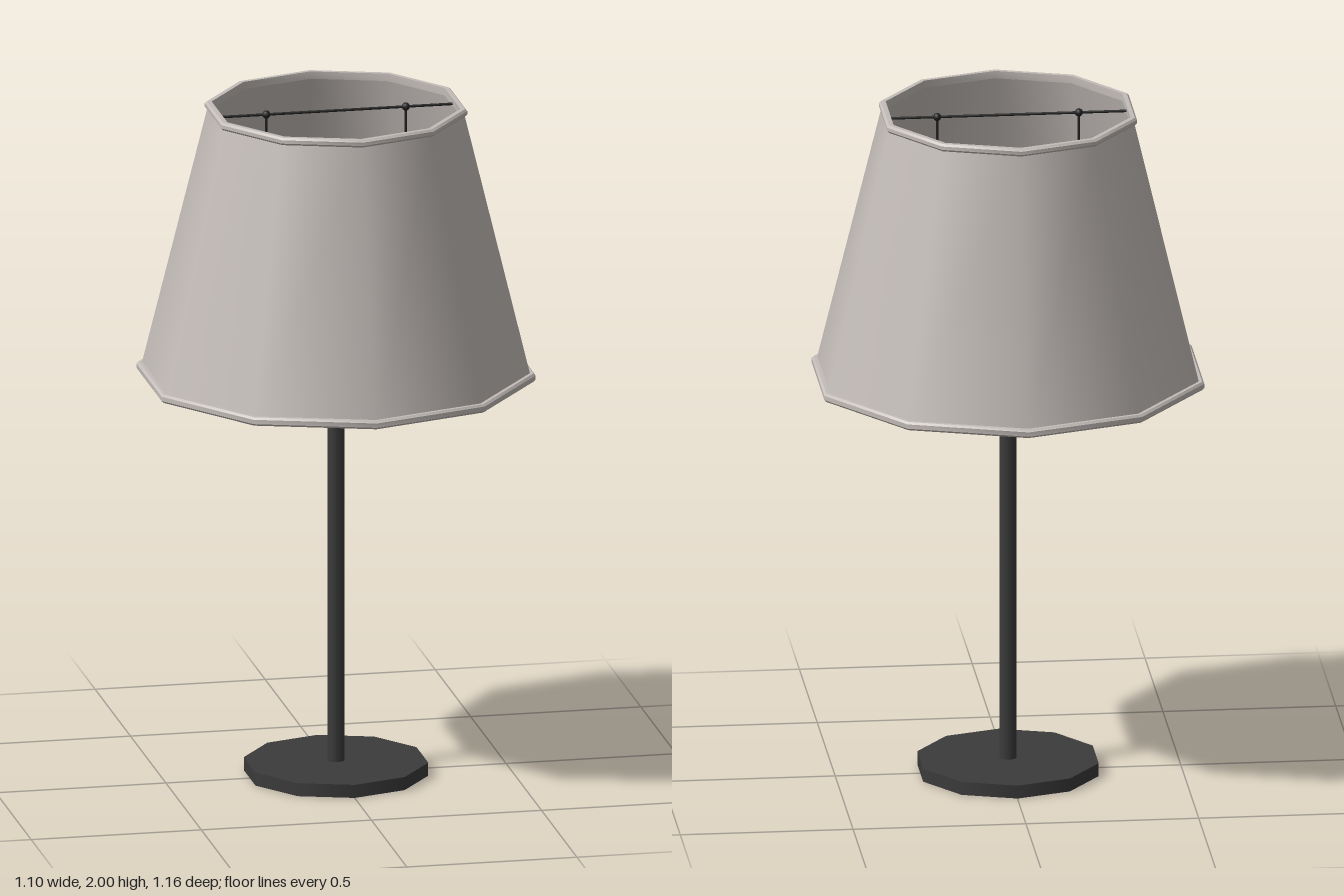
import * as THREE from 'three';
import { toCreasedNormals } from 'three/addons/utils/BufferGeometryUtils.js';

const SIDES = 10;

function material(name, color, side = THREE.FrontSide) {
  const m = new THREE.MeshStandardMaterial({ color, side });
  m.name = name;
  return m;
}

export function createModel() {
  const fabric = material('shadeGrey', 0xc4bdb9, THREE.DoubleSide);
  const dark = material('standCharcoal', 0x3b3b3b);
  const wire = material('wireBlack', 0x222222);
  const glass = material('bulbPeach', 0xe8c8b0);
  const cap = material('bulbNeckGrey', 0xc9c4c0);

  const model = new THREE.Group();
  model.name = 'tableLamp';

  function add(name, geometry, mat, x = 0, y = 0, z = 0) {
    const mesh = new THREE.Mesh(geometry, mat);
    mesh.name = name;
    mesh.position.set(x, y, z);
    model.add(mesh);
    return mesh;
  }
  function lathe(points, segments) {
    return new THREE.LatheGeometry(points.map(([r, y]) => new THREE.Vector2(r, y)), segments);
  }
  const rod = (r, h, n) => new THREE.CylinderGeometry(r, r, h, n);

  // Stand: plate, pole showing through its underside, socket collar
  add('base', rod(0.267, 0.039, SIDES), dark, 0, 0.0205);
  add('pole', rod(0.025, 1.28, SIDES), dark, 0, 0.64);
  add('socket', rod(0.034, 0.03, SIDES), dark, 0, 1.285);

  // Bulb with its pale neck
  add('bulbNeck', lathe([[0, 1.3], [0.03, 1.3], [0.03, 1.36], [0.033, 1.39]], SIDES), cap);
  add('bulb', lathe([
    [0.033, 1.39], [0.04, 1.42], [0.062, 1.46], [0.08, 1.5], [0.085, 1.53],
    [0.079, 1.565], [0.06, 1.594], [0.032, 1.61], [0, 1.615],
  ], SIDES), glass);

  // Open tapered shade
  add('shade', new THREE.CylinderGeometry(0.37, 0.565, 0.79, SIDES, 1, true), fabric, 0, 1.595);

  // Chamfered trim rings at both ends of the shade
  function trim(name, inner, outer, y0, y1) {
    const c = 0.006;
    const ring = lathe([
      [inner, y0], [outer - c, y0], [outer, y0 + c], [outer, y1 - c],
      [outer - c, y1], [inner, y1], [inner, y0],
    ], SIDES);
    add(name, toCreasedNormals(ring, 0.7), fabric);
  }
  trim('bottomTrim', 0.557, 0.578, 1.19, 1.215);
  trim('topTrim', 0.36, 0.38, 1.978, 2);

  // Wire frame carrying the shade
  const low = 1.33, high = 1.984, half = 0.205;
  add('upperCrossbar', rod(0.004, 0.69, 8), wire, 0, high).rotation.z = Math.PI / 2;
  add('lowerCrossbar', rod(0.004, 2 * half, 8), wire, 0, low).rotation.z = Math.PI / 2;
  for (const side of [-1, 1]) {
    add('uprightWire', rod(0.004, high - low, 8), wire, side * half, (high + low) / 2);
    for (const y of [low, high]) {
      add('wireJoint', new THREE.SphereGeometry(0.012, 10, 8), wire, side * half, y);
    }
  }

  return model;
}
